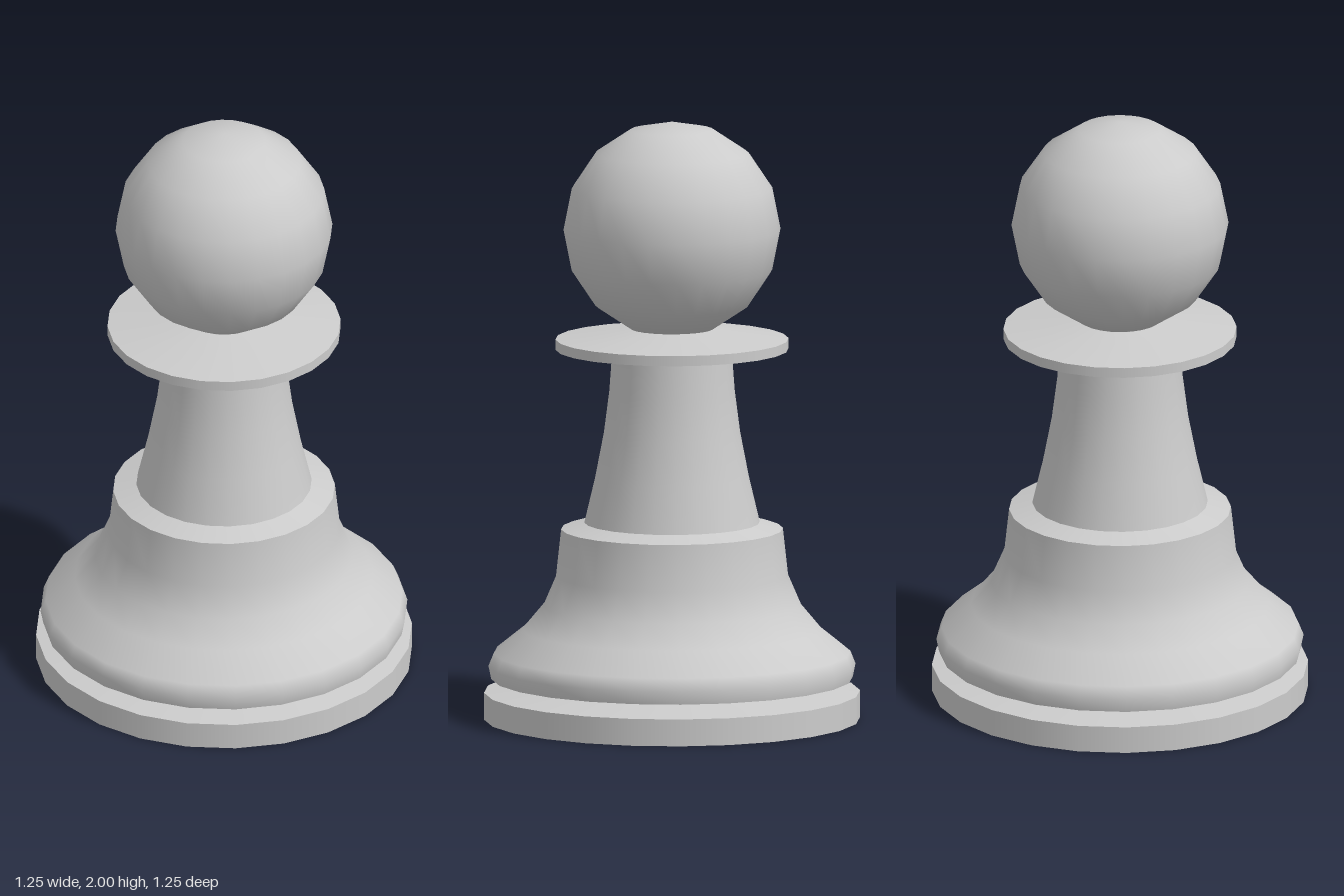
import * as THREE from 'three';
import { mergeGeometries } from 'three/addons/utils/BufferGeometryUtils.js';

const SIDES = 24;

// Revolves each run of [radius, height] points; edges between runs stay sharp.
function turned(name, runs, material) {
  const parts = runs.map((run) =>
    new THREE.LatheGeometry(run.map(([r, y]) => new THREE.Vector2(r, y)), SIDES));
  const mesh = new THREE.Mesh(mergeGeometries(parts), material);
  mesh.name = name;
  return mesh;
}

export function createModel() {
  const group = new THREE.Group();
  group.name = 'pawn';
  // The piece is a thin shell, open underneath, so its inside shows too
  const grey = new THREE.MeshStandardMaterial({ color: 0xcccccc, side: THREE.DoubleSide });

  // Foot rim, with a top that slopes in to the groove
  group.add(turned('foot', [
    [[0.624, 0], [0.624, 0.09]],
    [[0.624, 0.09], [0.44, 0.115]],
  ], grey));

  // Flared body above the groove
  group.add(turned('body', [
    [[0.44, 0.115], [0.6, 0.136]],
    [[0.6, 0.136], [0.609, 0.18], [0.592, 0.222], [0.495, 0.3],
      [0.428, 0.38], [0.385, 0.48], [0.368, 0.636]],
    [[0.368, 0.636], [0.291, 0.658]],
  ], grey));

  // Tapered neck
  group.add(turned('neck', [
    [[0.291, 0.658], [0.255, 0.81], [0.226, 0.96], [0.208, 1.1], [0.198, 1.238]],
  ], grey));

  // Thin collar
  group.add(turned('collar', [
    [[0.198, 1.238], [0.387, 1.238]],
    [[0.387, 1.238], [0.387, 1.272]],
    [[0.387, 1.272], [0.138, 1.307]],
  ], grey));

  // Ball head, open where it meets the collar
  const head = new THREE.Mesh(
    new THREE.SphereGeometry(0.36, SIDES, 7, 0, Math.PI * 2, 0, (Math.PI * 7) / 8), grey);
  head.name = 'head';
  head.position.y = 1.64;
  group.add(head);

  return group;
}
